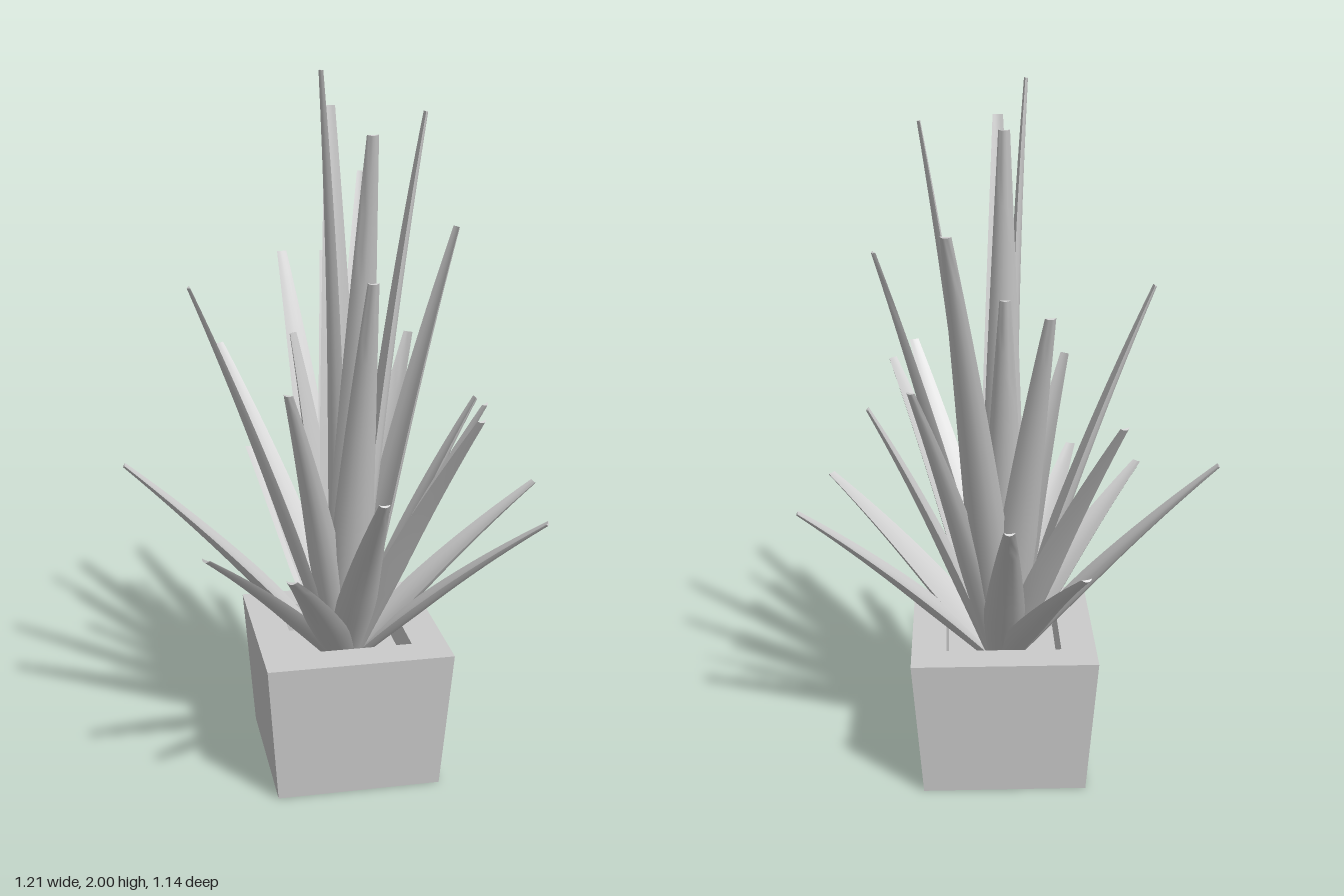
import * as THREE from 'three';
import { toCreasedNormals } from 'three/addons/utils/BufferGeometryUtils.js';

const CX = 0.015, CZ = 0.025; // plant axis
const material = new THREE.MeshStandardMaterial({ color: 0xcccccc });

// Leaf tips: x, y, z
const TIPS = [
  // upright inner leaves
  [-0.05, 2.0, 0.03], [0.235, 1.89, 0.03], [0.015, 1.89, -0.19], [0.015, 1.87, 0.38],
  // middle leaves
  [0.165, 1.67, -0.46], [0.36, 1.56, -0.08], [0.015, 1.51, 0.4], [0.015, 1.47, -0.27],
  [-0.095, 1.45, -0.385], [-0.41, 1.44, 0.03], [-0.11, 1.27, -0.1], [0.265, 1.22, -0.25],
  [-0.18, 1.19, 0.25], [0.335, 1.16, 0.325], [0.275, 1.17, 0.5], [-0.285, 1.17, -0.415],
  [0.395, 1.09, 0.03],
  // low outer leaves
  [0.015, 0.98, 0.55], [0.015, 0.95, -0.57], [-0.6, 0.93, -0.03], [0.6, 0.8, -0.03],
  [0.53, 0.8, 0.305], [-0.42, 0.8, 0.385], [-0.225, 0.8, 0.565], [-0.185, 0.8, -0.52],
];

// Leaf cross-section: rounded back, shallow channel on the inner face
const SECTION = [
  [1, 0], [0.75, 0.3], [0.4, 0.5], [0, 0.58], [-0.4, 0.5], [-0.75, 0.3],
  [-1, 0], [-0.5, 0.1], [0, 0.14], [0.5, 0.1],
];
const RIDGE = 3;

// Half width along the leaf: narrow base, wide belly, blunt tip
function halfWidth(t) {
  if (t < 0.36) return 0.038 + 0.02 * Math.sin((t / 0.36) * Math.PI / 2);
  const k = (t - 0.36) / 0.64;
  return 0.058 - 0.043 * Math.pow(k, 1.15);
}

function leafGeometry(tipXYZ) {
  const tip = new THREE.Vector3(...tipXYZ);
  const out = new THREE.Vector3(tip.x - CX, 0, tip.z - CZ).normalize();
  const across = new THREE.Vector3(-out.z, 0, out.x);
  const base = new THREE.Vector3(CX, 0.31, CZ).addScaledVector(out, 0.03);
  // The leaf arches slightly outward
  const axis = tip.clone().sub(base).normalize();
  const under = axis.clone().cross(across).normalize();
  const mid = base.clone().lerp(tip, 0.5).addScaledVector(under, -0.035);
  const curve = new THREE.QuadraticBezierCurve3(base, mid, tip);

  const positions = [], index = [], n = SECTION.length, steps = 16;
  for (let i = 0; i <= steps; i++) {
    const t = i / steps, p = curve.getPoint(t), w = halfWidth(t);
    const normal = curve.getTangent(t).cross(across).normalize();
    for (const [a, b] of SECTION) {
      const v = p.clone().addScaledVector(across, a * w).addScaledVector(normal, (b - 0.25) * w);
      positions.push(v.x, v.y, v.z);
    }
  }
  for (let i = 0; i < steps; i++) {
    for (let j = 0; j < n; j++) {
      const k = (j + 1) % n, r = i * n, s = r + n;
      index.push(r + j, r + k, s + j, r + k, s + k, s + j);
    }
  }
  // Blunt end caps, fanned from the ridge
  const last = steps * n;
  for (let j = 1; j < n - 1; j++) {
    const a = (RIDGE + j) % n, b = (RIDGE + j + 1) % n;
    index.push(last + RIDGE, last + a, last + b, RIDGE, b, a);
  }
  const geometry = new THREE.BufferGeometry();
  geometry.setAttribute('position', new THREE.Float32BufferAttribute(positions, 3));
  geometry.setIndex(index);
  return toCreasedNormals(geometry, 0.75);
}

// Square tapered pot with a thick rim and a recessed bed
function potGeometry() {
  const profile = [[0, 0], [0.235, 0], [0.265, 0.415], [0.165, 0.415], [0.16, 0.33], [0, 0.33]]
    .map(([half, y]) => new THREE.Vector2(half * Math.SQRT2, y));
  const geometry = new THREE.LatheGeometry(profile, 4, Math.PI / 4).toNonIndexed();
  geometry.computeVertexNormals();
  return geometry;
}

export function createModel() {
  const group = new THREE.Group();
  group.name = 'pottedPlant';

  const pot = new THREE.Mesh(potGeometry(), material);
  pot.name = 'pot';
  pot.position.set(CX, 0, CZ);
  group.add(pot);

  const leaves = new THREE.Group();
  leaves.name = 'leaves';
  TIPS.forEach((tip, i) => {
    const leaf = new THREE.Mesh(leafGeometry(tip), material);
    leaf.name = `leaf${i + 1}`;
    leaves.add(leaf);
  });
  group.add(leaves);
  return group;
}
